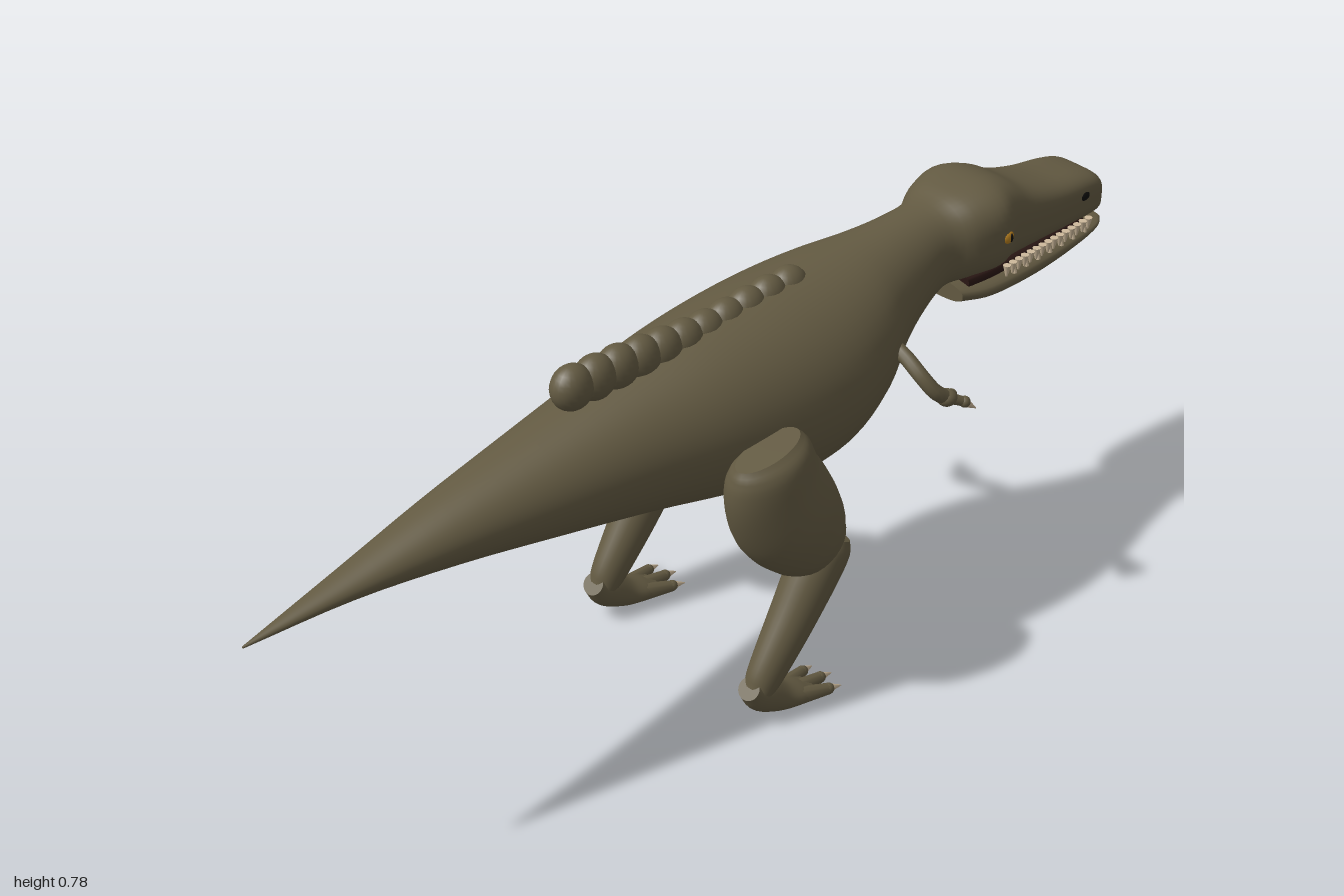
import * as THREE from 'three';

const mat = (name, color) => {
  const m = new THREE.MeshStandardMaterial({ color });
  m.name = name;
  return m;
};

// Skins superelliptic rings along a path in the xy plane, with flat end caps.
// Section: [x, y, z, radius in the xy plane, radius in z, exponent]
function loft(sections, { seg = 28, steps = 5, upright = false } = {}) {
  const curve = (f) => new THREE.CatmullRomCurve3(sections.map(f), false, 'catmullrom', 0.5);
  const centre = curve((s) => new THREE.Vector3(s[0], s[1], s[2]));
  const size = curve((s) => new THREE.Vector3(s[3], s[4], s[5] ?? 2));
  const n = (sections.length - 1) * steps;
  const pos = [], index = [];
  const pow = (v, e) => Math.sign(v) * Math.pow(Math.abs(v), 2 / e);
  const ring = (t, k = 1) => {
    const c = centre.getPoint(t), r = size.getPoint(t);
    const d = upright ? new THREE.Vector3(1, 0, 0) : centre.getTangent(t).setZ(0).normalize();
    for (let j = 0; j < seg; j++) {
      const a = (j / seg) * Math.PI * 2;
      const u = pow(Math.cos(a), r.z) * Math.max(r.x, 0) * k;
      const w = pow(Math.sin(a), r.z) * Math.max(r.y, 0) * k;
      pos.push(c.x - d.y * u, c.y + d.x * u, c.z + w);
    }
  };
  ring(0, 0);
  ring(0);
  for (let i = 0; i <= n; i++) ring(i / n);
  ring(1);
  ring(1, 0);
  for (let i = 0; i < n + 4; i++) {
    if (i === 1 || i === n + 2) continue; // keeps the cap edges crisp
    for (let j = 0; j < seg; j++) {
      const a = i * seg + j, b = i * seg + ((j + 1) % seg);
      index.push(a, b, b + seg, a, b + seg, a + seg);
    }
  }
  const g = new THREE.BufferGeometry();
  g.setAttribute('position', new THREE.Float32BufferAttribute(pos, 3));
  g.setIndex(index);
  g.computeVertexNormals();
  return g;
}

export function createModel() {
  const model = new THREE.Group();
  model.name = 'dinosaur';
  const skin = mat('olive skin', 0x635a42);
  const ivory = mat('ivory', 0xcdb99b);
  const amber = mat('amber', 0xb8801f);
  const black = mat('black', 0x0d0c0a);
  const mouth = mat('dark mouth', 0x2a1714);

  const add = (name, geometry, material, parent = model) => {
    const m = new THREE.Mesh(geometry, material);
    m.name = name;
    parent.add(m);
    return m;
  };
  const ball = (name, p, r, material, parent) => {
    const m = add(name, new THREE.SphereGeometry(1, 20, 14), material, parent);
    m.position.set(...p);
    m.scale.set(...r);
    return m;
  };
  // Cone or tapered rod from a to b
  const spike = (name, a, b, r0, r1, material, parent) => {
    const A = new THREE.Vector3(...a), B = new THREE.Vector3(...b), d = B.clone().sub(A);
    const m = add(name, new THREE.CylinderGeometry(r1, r0, d.length(), 10), material, parent);
    m.position.copy(A).add(B).multiplyScalar(0.5);
    m.quaternion.setFromUnitVectors(new THREE.Vector3(0, 1, 0), d.normalize());
    return m;
  };

  // Tail, trunk, neck and upper head: [x, top, bottom, half width, exponent]
  const body = [
    [-1, 0.532, 0.528, 0.002, 2], [-0.8, 0.574, 0.53, 0.035, 2], [-0.6, 0.622, 0.508, 0.07, 2],
    [-0.4, 0.663, 0.474, 0.105, 2], [-0.2, 0.702, 0.437, 0.14, 2], [-0.05, 0.727, 0.405, 0.17, 2],
    [0.1, 0.742, 0.375, 0.188, 2], [0.22, 0.747, 0.383, 0.186, 2], [0.32, 0.75, 0.43, 0.16, 2],
    [0.4, 0.752, 0.495, 0.12, 2], [0.48, 0.756, 0.55, 0.092, 2], [0.55, 0.762, 0.588, 0.079, 2.2],
    [0.6, 0.776, 0.6, 0.1, 2.6], [0.66, 0.784, 0.602, 0.113, 2.8], [0.71, 0.774, 0.604, 0.096, 2.9],
    [0.77, 0.742, 0.605, 0.086, 3.1], [0.85, 0.718, 0.606, 0.08, 3.3], [0.93, 0.706, 0.606, 0.074, 3.5],
    [0.975, 0.693, 0.607, 0.067, 3.7], [0.995, 0.672, 0.612, 0.052, 3.7],
  ].map(([x, t, b, w, e]) => [x, (t + b) / 2, 0, (t - b) / 2, w, e]);
  add('body', loft(body, { seg: 48, steps: 4, upright: true }), skin);

  // Lower jaw and the dark gap of the mouth
  add('lowerJaw', loft([
    [0.575, 0.586, 0, 0.02, 0.084, 2.6], [0.65, 0.576, 0, 0.022, 0.096, 2.6],
    [0.78, 0.572, 0, 0.023, 0.09, 2.6], [0.9, 0.577, 0, 0.018, 0.079, 2.6],
    [0.97, 0.585, 0, 0.011, 0.069, 2.6], [0.998, 0.588, 0, 0.006, 0.05, 2.6],
  ], { seg: 36, upright: true }), skin);
  add('mouthInside', loft([
    [0.6, 0.602, 0, 0.014, 0.075, 4], [0.7, 0.602, 0, 0.014, 0.078, 4],
    [0.94, 0.602, 0, 0.012, 0.058, 4],
  ], { upright: true }), mouth);

  // Row of knobs along the back
  const tops = [0.769, 0.768, 0.767, 0.764, 0.76, 0.756, 0.754, 0.757, 0.761, 0.764, 0.764];
  tops.forEach((top, i) => {
    ball('backKnob', [-0.305 + i * 0.0505, top - 0.043, 0], [0.042, 0.043, 0.035], skin);
  });

  for (const s of [1, -1]) {
    const side = new THREE.Group();
    side.name = s > 0 ? 'nearSide' : 'farSide';
    model.add(side);

    // Eye and nostril
    ball('eye', [0.663, 0.693, s * 0.107], [0.015, 0.014, 0.01], amber, side);
    ball('pupil', [0.666, 0.693, s * 0.114], [0.005, 0.009, 0.004], black, side);
    ball('nostril', [0.92, 0.67, s * 0.072], [0.014, 0.009, 0.006], black, side);

    // Teeth
    for (let i = 0; i < 15; i++) {
      const x = 0.69 + i * 0.018, z = s * (0.088 - i * 0.0014);
      spike('upperTooth', [x, 0.614, z], [x, 0.59, z], 0.008, 0.002, ivory, side);
      if (i % 2) spike('lowerTooth', [x + 0.009, 0.586, z * 0.96], [x + 0.009, 0.606, z * 0.96], 0.006, 0.001, ivory, side);
    }

    // Leg
    const z = s * 0.217;
    add('thigh', loft([
      [-0.035, 0.575, s * 0.2, 0.072, 0.035], [-0.03, 0.55, s * 0.2, 0.087, 0.058],
      [-0.018, 0.49, s * 0.197, 0.1, 0.073], [0.015, 0.42, s * 0.195, 0.105, 0.086],
      [0.05, 0.365, s * 0.207, 0.09, 0.07], [0.072, 0.335, z, 0.068, 0.052],
    ]), skin, side);
    add('shin', loft([
      [0.104, 0.345, z, 0.036, 0.044], [0.085, 0.31, z, 0.052, 0.051], [0.02, 0.205, z, 0.046, 0.044],
      [-0.045, 0.108, z, 0.037, 0.034], [-0.066, 0.075, z, 0.028, 0.029],
    ]), skin, side);
    add('foot', loft([
      [-0.09, 0.088, z, 0.022, 0.024], [-0.06, 0.062, z, 0.033, 0.031], [-0.015, 0.036, z, 0.028, 0.034],
      [0.025, 0.026, z, 0.02, 0.038], [0.055, 0.021, z, 0.011, 0.03],
    ]), skin, side);
    for (const k of [-1, 0, 1]) {
      const reach = k ? 0 : 0.012, tz = z + k * 0.035;
      spike('toe', [0.01, 0.028, z + k * 0.018], [0.078 + reach, 0.02, tz], 0.018, 0.011, skin, side);
      ball('toeTip', [0.078 + reach, 0.02, tz], [0.013, 0.011, 0.011], skin, side);
      spike('toeClaw', [0.08 + reach, 0.021, tz], [0.108 + reach, 0.015, tz + k * 0.004], 0.009, 0.001, ivory, side);
    }

    // Arm with two clawed fingers
    const path = [[0.345, 0.605, 0.11], [0.345, 0.588, 0.16], [0.348, 0.562, 0.2], [0.362, 0.535, 0.22], [0.385, 0.515, 0.227]];
    const arm = new THREE.CatmullRomCurve3(path.map(([x, y, w]) => new THREE.Vector3(x, y, s * w)));
    add('arm', new THREE.TubeGeometry(arm, 20, 0.0145, 12), skin, side);
    ball('hand', [0.388, 0.514, s * 0.227], [0.02, 0.016, 0.019], skin, side);
    for (const fz of [0.21, 0.244]) {
      spike('finger', [0.388, 0.514, s * 0.227], [0.418, 0.5, s * fz], 0.011, 0.009, skin, side);
      ball('knuckle', [0.418, 0.5, s * fz], [0.011, 0.011, 0.011], skin, side);
      spike('fingerClaw', [0.418, 0.499, s * fz], [0.449, 0.473, s * fz], 0.0095, 0.001, ivory, side);
    }
  }
  return model;
}
